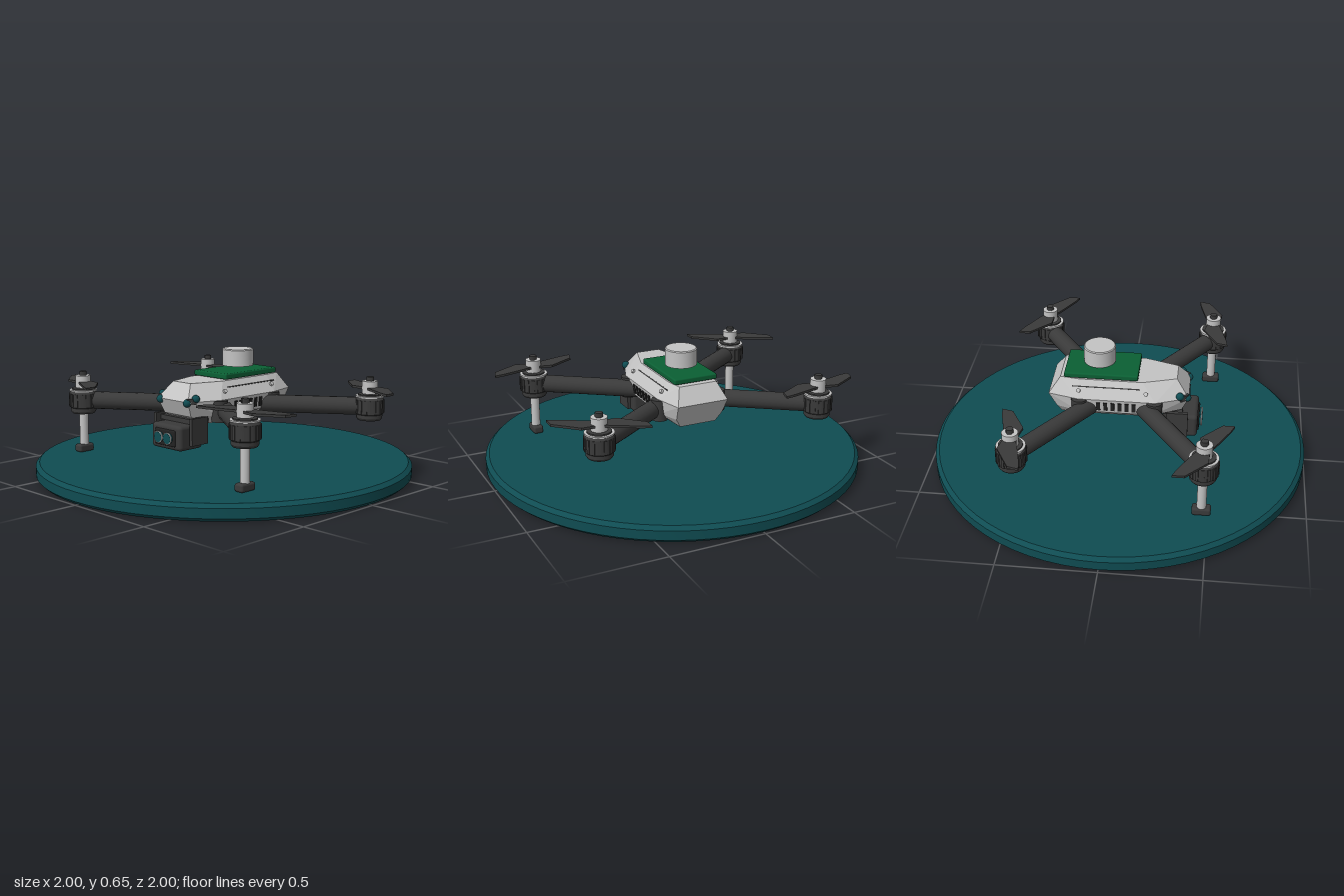
import * as THREE from 'three';
import { ConvexGeometry } from 'three/addons/geometries/ConvexGeometry.js';
import { RoundedBoxGeometry } from 'three/addons/geometries/RoundedBoxGeometry.js';
import { toCreasedNormals } from 'three/addons/utils/BufferGeometryUtils.js';

const mat = (name, color) => {
  const m = new THREE.MeshStandardMaterial({ color });
  m.name = name;
  return m;
};

export function createModel() {
  const teal = mat('teal', 0x0f4c52);
  const grey = mat('light grey', 0xc4c4c4);
  const dark = mat('charcoal', 0x3a3a3a);
  const black = mat('black', 0x222222);
  const green = mat('green', 0x0b6034);
  const root = new THREE.Group();

  const add = (parent, name, geo, material, x = 0, y = 0, z = 0) => {
    const m = new THREE.Mesh(geo, material);
    m.name = name;
    m.position.set(x, y, z);
    parent.add(m);
    return m;
  };
  const cyl = (r, h, n = 24) => new THREE.CylinderGeometry(r, r, h, n);
  const box = (w, h, d) => new THREE.BoxGeometry(w, h, d);
  const lathe = (pts, n = 32) => toCreasedNormals(
    new THREE.LatheGeometry(pts.map(p => new THREE.Vector2(p[0], p[1])), n), 0.5);

  // Landing pad with chamfered rim
  add(root, 'landingPad', lathe([[0, 0], [0.98, 0], [1, 0.018], [1, 0.066], [0.98, 0.085], [0, 0.085]], 72), teal);

  // Faceted body: horizontal rings of height, rear z, rear, side, shoulder z, front, front z
  const hull = [];
  for (const [y, rz, rw, sw, sz, fw, fz] of [
    [0.30, -0.30, 0.10, 0.11, 0.14, 0.07, 0.25],
    [0.35, -0.32, 0.13, 0.17, 0.19, 0.10, 0.335],
    [0.43, -0.36, 0.14, 0.18, 0.20, 0.115, 0.37],
    [0.515, -0.30, 0.105, 0.12, 0.13, 0.065, 0.305]]) {
    for (const s of [-1, 1]) {
      hull.push(new THREE.Vector3(s * rw, y, rz), new THREE.Vector3(s * sw, y, -0.2),
        new THREE.Vector3(s * sw, y, sz), new THREE.Vector3(s * fw, y, fz));
    }
  }
  add(root, 'body', new ConvexGeometry(hull), grey);

  // Side details, mirrored
  for (const s of [-1, 1]) {
    for (let i = 0; i < 6; i++) {
      const vent = add(root, 'sideVent', box(0.01, 0.05, 0.02), black, s * 0.175, 0.39, 0.09 - i * 0.037);
      vent.rotation.z = -s * 0.12;
    }
    const seam = add(root, 'seam', box(0.006, 0.006, 0.35), dark, s * 0.142, 0.484, -0.06);
    seam.rotation.z = s * 0.61;
    for (const z of [0.15, -0.2]) {
      const screw = add(root, 'screw', cyl(0.011, 0.015, 12), grey, s * 0.157, 0.468, z);
      screw.rotation.z = -s * 0.96;
    }
    // Forward obstacle sensors
    const ball = new THREE.SphereGeometry(0.021, 16, 12);
    add(root, 'sensorLens', ball, teal, s * 0.125, 0.445, 0.325);
    add(root, 'sensorLens', ball, teal, s * 0.1, 0.425, 0.362);
    const pod = add(root, 'sensorPod', box(0.05, 0.03, 0.02), dark, s * 0.115, 0.432, 0.345);
    pod.rotation.y = s * 0.9;
    // Camera brackets
    add(root, 'cameraBracket', box(0.02, 0.14, 0.11), dark, s * 0.135, 0.28, 0.315);
  }

  // Top payload plate and sensor drum
  add(root, 'payloadPlate', new RoundedBoxGeometry(0.24, 0.03, 0.385, 2, 0.008), green, 0, 0.533, -0.087);
  add(root, 'sensorDrum', lathe([[0, 0.565], [0.083, 0.565], [0.083, 0.65], [0.078, 0.655], [0, 0.655]], 40),
    grey, 0, 0, -0.105);

  // Camera with twin lenses
  add(root, 'cameraMount', box(0.26, 0.025, 0.1), dark, 0, 0.325, 0.29);
  add(root, 'camera', new RoundedBoxGeometry(0.22, 0.13, 0.16, 3, 0.02), dark, 0, 0.247, 0.34);
  add(root, 'cameraFace', new RoundedBoxGeometry(0.15, 0.085, 0.02, 2, 0.008), black, 0, 0.245, 0.418);
  for (const s of [-1, 1]) {
    const lens = add(root, 'cameraLens', cyl(0.027, 0.022), teal, s * 0.034, 0.245, 0.433);
    lens.rotation.x = Math.PI / 2;
    add(root, 'lensRing', new THREE.TorusGeometry(0.028, 0.004, 8, 24), grey, s * 0.034, 0.245, 0.44);
  }

  // Two-blade propeller outline, turned half a circle for the second blade
  const blade = [[0.03, -0.035], [0.08, -0.05], [0.19, -0.078], [0.24, -0.085], [0.225, -0.028], [0.09, 0.048], [0.03, 0.035]];
  const propGeo = flip => {
    const pts = [...blade, ...blade.map(([x, y]) => [-x, -y])];
    const shape = new THREE.Shape(pts.map(([x, y]) => new THREE.Vector2(flip * x, y)));
    return new THREE.ExtrudeGeometry(shape, { depth: 0.012, bevelEnabled: false }).rotateX(Math.PI / 2);
  };

  const motorGeo = lathe([[0, 0.30], [0.06, 0.30], [0.068, 0.312], [0.068, 0.33], [0.074, 0.335],
    [0.074, 0.41], [0.066, 0.422], [0, 0.422]]);
  for (const sx of [-1, 1]) for (const sz of [-1, 1]) {
    const unit = new THREE.Group();
    unit.name = (sz > 0 ? 'front' : 'rear') + (sx > 0 ? 'Left' : 'Right') + 'Rotor';
    unit.position.set(sx * 0.61, 0, sz * 0.47);
    root.add(unit);

    // Motor with ribs, ring, hub and shaft
    add(unit, 'motor', motorGeo, dark);
    for (let i = 0; i < 16; i++) {
      const a = i * Math.PI / 8;
      const rib = add(unit, 'motorRib', box(0.008, 0.07, 0.014), dark, Math.cos(a) * 0.074, 0.373, Math.sin(a) * 0.074);
      rib.rotation.y = -a;
    }
    add(unit, 'motorRing', cyl(0.074, 0.008, 32), grey, 0, 0.425);
    add(unit, 'motorCap', cyl(0.06, 0.012, 32), dark, 0, 0.43);
    add(unit, 'propellerHub', cyl(0.041, 0.066), grey, 0, 0.472);
    add(unit, 'shaft', cyl(0.02, 0.03, 6), dark, 0, 0.512);
    const prop = add(unit, 'propeller', propGeo(-sx * sz), dark, 0, 0.473);
    prop.scale.setScalar(1);
    if (sx * sz < 0) prop.geometry = propGeo(sx * sz < 0 ? 1 : -1);
    const matched = sx * sz > 0;
    prop.geometry = propGeo(matched ? 1 : -1);
    prop.rotation.y = matched ? 0 : -0.25;
    if (sz < 0) {
      prop.geometry = propGeo(sx < 0 ? 1 : -1);
      prop.rotation.y = sx < 0 ? 0 : -0.25;
    }

    // Arm and its hinge
    const a = new THREE.Vector3(sx * 0.12, 0.37, sz * 0.125);
    const b = new THREE.Vector3(sx * 0.57, 0.37, sz * 0.443);
    const dir = b.clone().sub(a);
    const arm = add(root, 'arm', cyl(0.047, dir.length(), 16), dark);
    arm.position.copy(a).add(b).multiplyScalar(0.5);
    arm.quaternion.setFromUnitVectors(new THREE.Vector3(0, 1, 0), dir.normalize());
    add(root, 'armHinge', cyl(0.042, 0.11), dark, sx * 0.165, 0.373, sz * 0.195);

    // Front legs only
    if (sz > 0) {
      add(unit, 'leg', cyl(0.024, 0.18), grey, 0, 0.215);
      add(unit, 'foot', new RoundedBoxGeometry(0.055, 0.042, 0.095, 2, 0.012), dark, 0, 0.107);
    }
  }
  return root;
}
